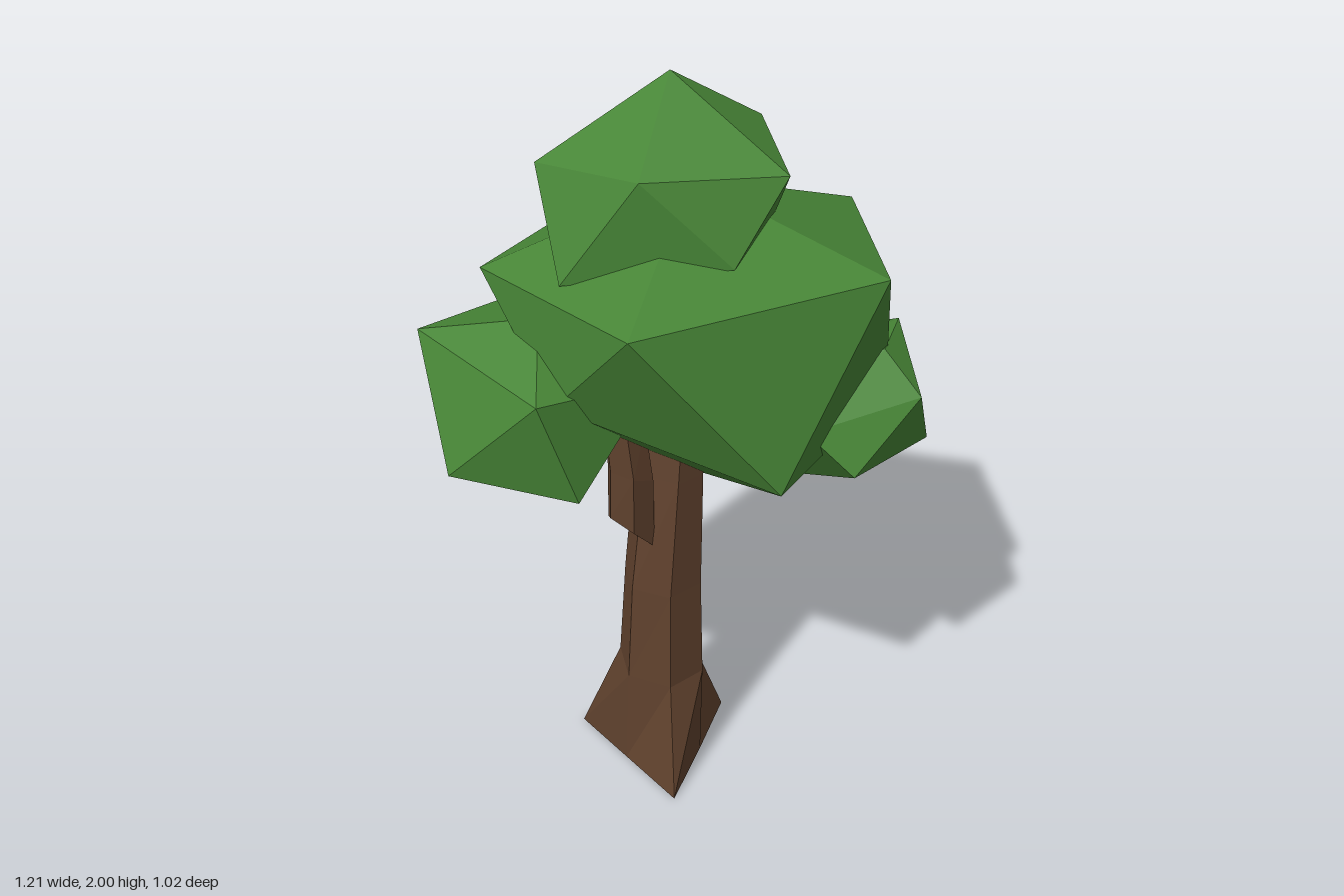
import * as THREE from 'three';
import { ConvexGeometry } from 'three/addons/geometries/ConvexGeometry.js';

const leaf = new THREE.MeshStandardMaterial({ color: 0x478536 });
leaf.name = 'leafGreen';
const bark = new THREE.MeshStandardMaterial({ color: 0x5f412d });
bark.name = 'barkBrown';

// Faceted clump of leaves spanned by a few corner points
function clump(name, points) {
  const mesh = new THREE.Mesh(new ConvexGeometry(points.map(p => new THREE.Vector3(...p))), leaf);
  mesh.name = name;
  return mesh;
}

// Flat-shaded loft through closed rings (each counted from +x towards +z, bottom to top), capped
function loft(name, rings) {
  const pos = [];
  const n = rings[0].length;
  const tri = (a, b, c) => pos.push(...a, ...b, ...c);
  for (let r = 0; r < rings.length - 1; r++) {
    for (let i = 0; i < n; i++) {
      const j = (i + 1) % n, lo = rings[r], hi = rings[r + 1];
      tri(lo[i], hi[i], lo[j]);
      tri(lo[j], hi[i], hi[j]);
    }
  }
  const first = rings[0], last = rings[rings.length - 1];
  for (let i = 1; i < n - 1; i++) {
    tri(first[0], first[i], first[i + 1]);
    tri(last[0], last[i + 1], last[i]);
  }
  const geo = new THREE.BufferGeometry();
  geo.setAttribute('position', new THREE.Float32BufferAttribute(pos, 3));
  geo.computeVertexNormals();
  const mesh = new THREE.Mesh(geo, bark);
  mesh.name = name;
  return mesh;
}

// Six-sided ring; slope tilts it along x
function hexRing(cx, y, cz, rx, rz, slope = 0) {
  return Array.from({ length: 6 }, (_, i) => {
    const a = i * Math.PI / 3;
    const dx = rx * Math.cos(a);
    return [cx + dx, y + slope * dx, cz + rz * Math.sin(a) / 0.866];
  });
}

export function createModel() {
  const tree = new THREE.Group();
  tree.name = 'tree';

  // Trunk: triangular flared foot, then a leaning hexagonal stem
  const foot = [[0.18, 0, 0], [0, 0, 0.11], [-0.19, 0, 0.22], [-0.19, 0, 0], [-0.19, 0, -0.21], [0, 0, -0.11]];
  tree.add(loft('trunk', [
    foot,
    hexRing(-0.055, 0.3, -0.003, 0.118, 0.115),
    hexRing(-0.045, 0.6, -0.005, 0.108, 0.1),
    hexRing(-0.02, 0.95, -0.008, 0.085, 0.092),
    hexRing(0, 1.15, -0.01, 0.08, 0.085),
  ]));

  // Short branch bending up from the trunk
  tree.add(loft('branch', [
    hexRing(-0.14, 0.78, -0.02, 0.07, 0.055, -1.05),
    hexRing(-0.14, 0.97, -0.02, 0.065, 0.055, -0.4),
    hexRing(-0.15, 1.12, -0.03, 0.06, 0.05),
  ]));

  // Foliage
  tree.add(clump('mainFoliage', [
    [0.04, 1.75, 0],
    [0.6, 1.555, 0.01], [0.25, 1.59, 0.48], [-0.38, 1.56, 0.29], [-0.38, 1.53, -0.3], [0.24, 1.545, -0.51],
    [0.46, 1.14, 0.31], [-0.06, 1.11, 0.465], [-0.4, 1.28, 0.02], [-0.05, 1.1, -0.5], [0.46, 1.15, -0.33],
    [0.08, 0.89, 0],
  ]));
  tree.add(clump('topFoliage', [
    [0.03, 2, -0.06],
    [0.28, 1.85, -0.01], [0.09, 1.83, 0.295], [-0.21, 1.835, 0.12], [-0.27, 1.805, -0.2], [0.11, 1.85, -0.315],
    [0.2, 1.65, 0.13], [-0.05, 1.63, 0.27], [-0.34, 1.57, -0.02], [-0.05, 1.63, -0.29], [0.23, 1.64, -0.24],
    [0.275, 1.69, -0.14], [-0.02, 1.5, -0.02],
  ]));
  tree.add(clump('backRightFoliage', [
    [-0.33, 1.44, -0.13],
    [-0.49, 1.34, 0.08], [-0.52, 1.37, -0.39], [-0.11, 1.34, -0.45], [-0.15, 1.3, 0.1],
    [-0.61, 1.09, -0.145], [-0.4, 1.06, -0.465], [-0.05, 1.05, -0.3], [-0.4, 1.05, 0.11], [-0.22, 0.91, -0.13],
  ]));
  tree.add(clump('frontLeftFoliage', [
    [0.34, 1.345, 0.4], [0.2, 1.31, 0.28], [0.52, 1.325, 0.28],
    [0.36, 1.25, 0.515], [0.08, 1.2, 0.4], [0.557, 1.28, 0.21], [0.555, 1.19, 0.1], [0.5, 1.17, -0.03],
    [0.16, 1.085, 0.495], [0.5, 1.04, 0.43], [0.48, 1.065, -0.03], [0.28, 0.9, 0.2],
  ]));
  tree.add(clump('backLeftFoliage', [
    [0.4, 1.17, -0.12],
    [0.582, 1.065, -0.13], [0.53, 1.14, -0.05], [0.53, 1.15, -0.22], [0.45, 1.1, -0.335], [0.42, 1.03, 0.05],
    [0.53, 0.9, -0.01], [0.535, 0.92, -0.19], [0.42, 0.93, -0.34], [0.36, 0.94, 0.06],
    [0.18, 0.95, -0.1], [0.395, 0.815, -0.14],
  ]));

  return tree;
}
